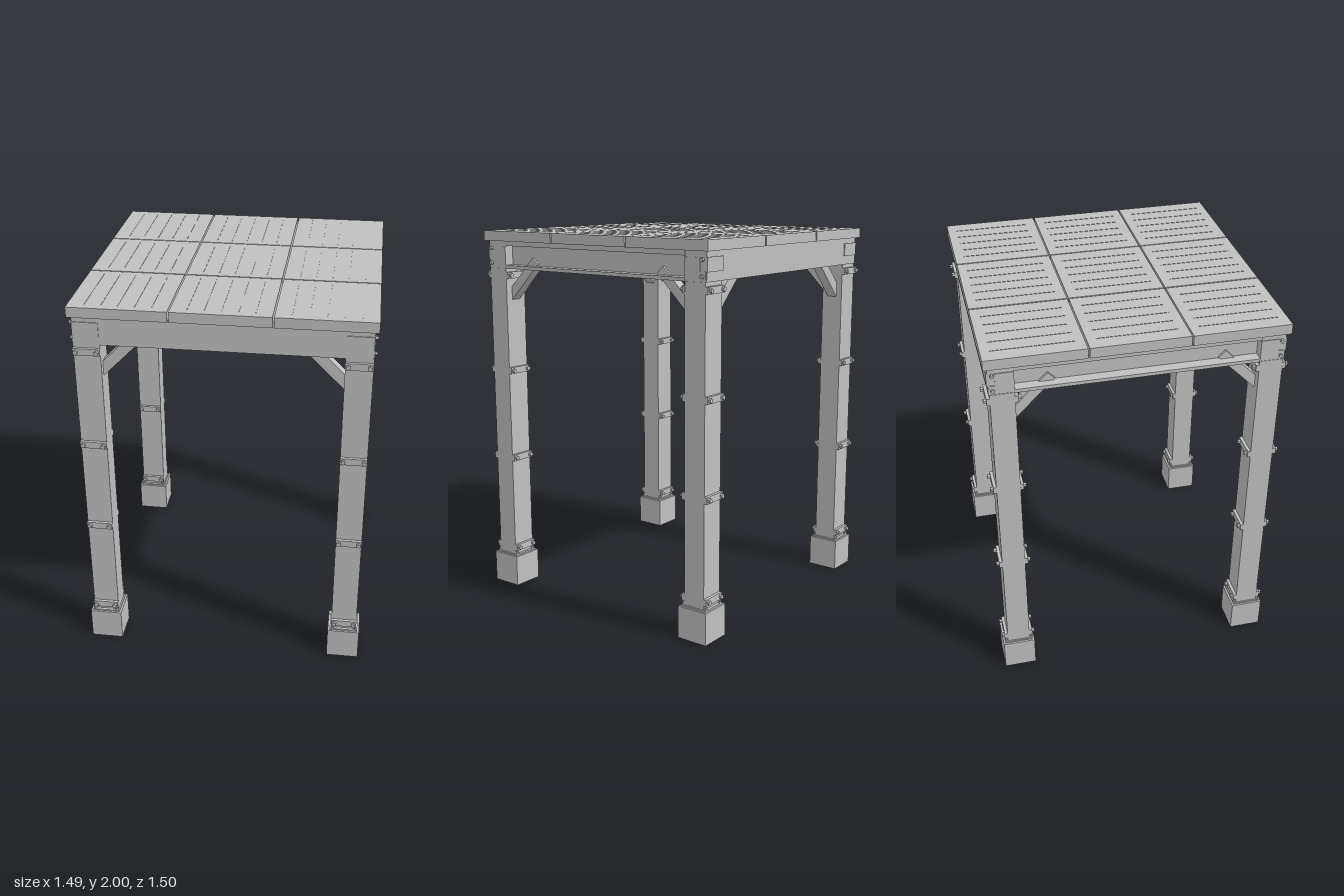
import * as THREE from 'three';

export function createModel() {
  const model = new THREE.Group();
  const steel = new THREE.MeshStandardMaterial({ color: 0xc0c0c0 });
  steel.name = 'grey steel';

  // Box given by its centre and size
  function box(parent, name, x, y, z, w, h, d) {
    const mesh = new THREE.Mesh(new THREE.BoxGeometry(w, h, d), steel);
    mesh.name = name;
    mesh.position.set(x, y, z);
    parent.add(mesh);
    return mesh;
  }

  // Hexagonal bolt along one axis
  function bolt(parent, x, y, z, axis, length = 0.02, radius = 0.012) {
    const geo = new THREE.CylinderGeometry(radius, radius, length, 6).toNonIndexed();
    geo.computeVertexNormals();
    if (axis === 'x') geo.rotateZ(Math.PI / 2);
    if (axis === 'z') geo.rotateX(Math.PI / 2);
    const mesh = new THREE.Mesh(geo, steel);
    mesh.name = 'bolt';
    mesh.position.set(x, y, z);
    parent.add(mesh);
  }

  const PX = 0.66, PZ = 0.66;

  // Four posts with footings, clamps, braces and corner brackets
  for (const sx of [-1, 1]) for (const sz of [-1, 1]) {
    const corner = new THREE.Group();
    corner.name = 'cornerPost';
    model.add(corner);
    const x = sx * PX, z = sz * PZ;

    box(corner, 'footing', x, 0.085, z, 0.17, 0.17, 0.17);
    box(corner, 'basePlate', x, 0.174, z, 0.15, 0.008, 0.15);
    box(corner, 'post', x, 0.985, z, 0.135, 1.63, 0.12);
    for (const bx of [-1, 1]) for (const bz of [-1, 1])
      bolt(corner, x + bx * 0.06, 0.184, z + bz * 0.067, 'y', 0.016, 0.009);

    // Clamp bars on the front and back of the post
    for (const y of [0.217, 0.745, 1.24, 1.762]) for (const side of [-1, 1]) {
      box(corner, 'clampBar', x, y, z + side * 0.068, 0.136, 0.036, 0.016);
      for (const bx of [-1, 1])
        bolt(corner, x + bx * 0.052, y, z + side * 0.08, 'z');
    }

    // Brace under the front or back beam
    const a = box(corner, 'beamBrace', sx * 0.53, 1.72, z, 0.29, 0.056, 0.055);
    a.rotation.z = -sx * Math.PI / 4;
    // Brace whose square end rests in the side beam
    const b = box(corner, 'sideBrace', x, 1.737, sz * 0.526, 0.055, 0.05, 0.3);
    b.rotation.x = sz * Math.PI / 4;

    // Corner bracket plates and their bolts
    box(corner, 'frontBracket', x, 1.882, sz * 0.727, 0.13, 0.07, 0.006);
    box(corner, 'sideBracket', sx * 0.725, 1.876, sz * 0.645, 0.008, 0.076, 0.09);
    box(corner, 'sideBracketFoot', sx * 0.725, 1.83, sz * 0.66, 0.008, 0.04, 0.12);
    for (const y of [1.825, 1.905])
      bolt(corner, sx * 0.732, y, sz * 0.703, 'x', 0.018, 0.01);
  }

  // Solid beams at the front and back
  for (const sz of [-1, 1])
    box(model, 'endBeam', 0, 1.872, sz * 0.6625, 1.45, 0.144, 0.125);

  // I-section beams along both sides
  for (const sx of [-1, 1]) {
    const beam = new THREE.Group();
    beam.name = 'sideBeam';
    box(beam, 'topFlange', sx * 0.665, 1.932, 0, 0.13, 0.024, 1.2);
    box(beam, 'web', sx * 0.665, 1.87, 0, 0.02, 0.11, 1.2);
    box(beam, 'bottomFlange', sx * 0.665, 1.808, 0, 0.13, 0.018, 1.2);
    model.add(beam);
  }

  // Nine roof panels with fine raised seams
  const roof = new THREE.Group();
  roof.name = 'roof';
  model.add(roof);
  for (let i = -1; i <= 1; i++) for (let j = -1; j <= 1; j++) {
    box(roof, 'roofPanel', i * 0.4985, 1.9715, j * 0.4985, 0.491, 0.053, 0.491);
    for (let k = -2; k <= 2; k++)
      box(roof, 'seam', i * 0.4985 + k * 0.082, 1.9985, j * 0.4985, 0.003, 0.003, 0.4);
  }

  return model;
}
